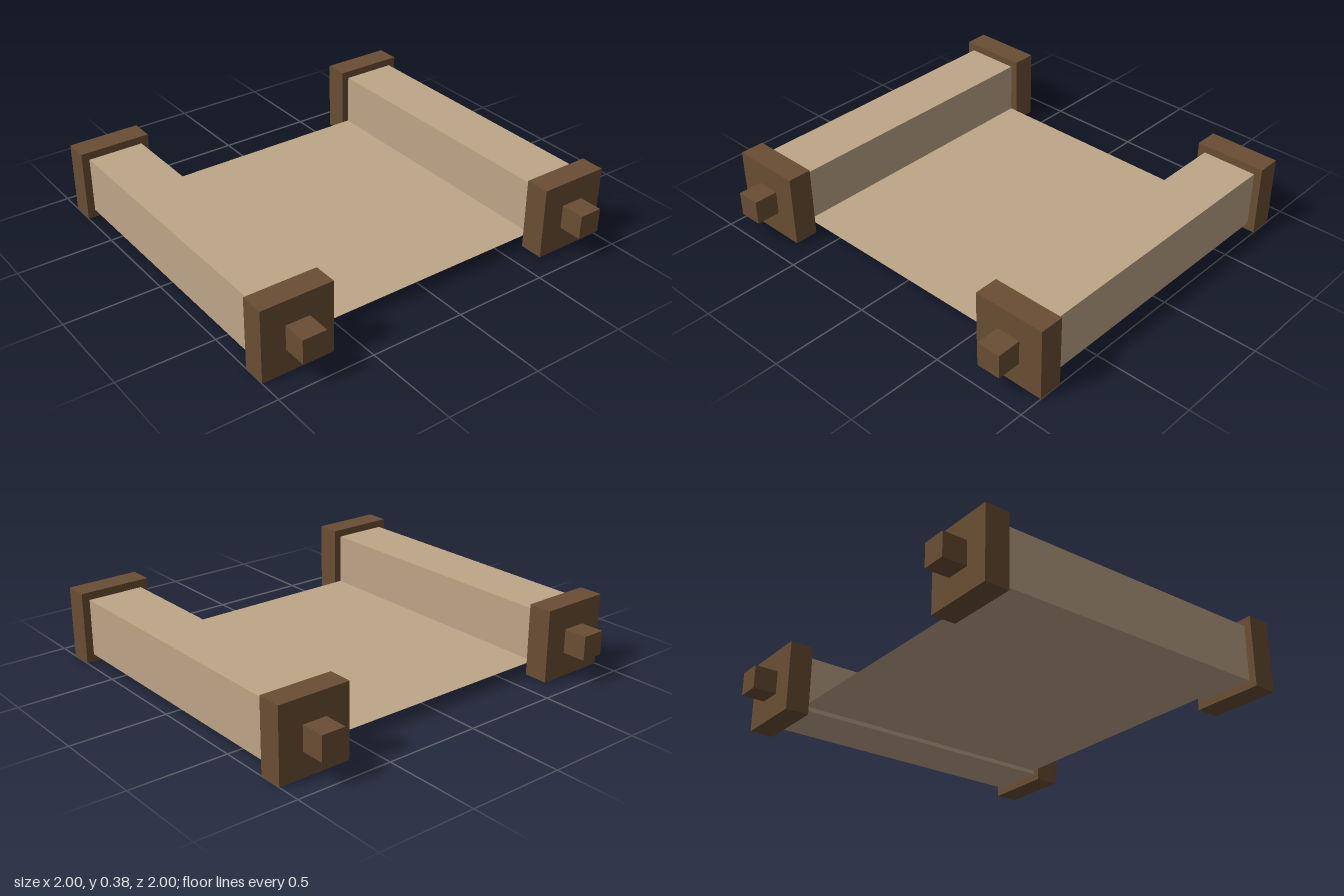
import * as THREE from 'three';

export function createModel() {
  const wood = new THREE.MeshStandardMaterial({ color: 0x6a4e34 });
  wood.name = 'dark wood';
  const paper = new THREE.MeshStandardMaterial({ color: 0xbea688, side: THREE.DoubleSide });
  paper.name = 'parchment';

  const model = new THREE.Group();
  model.name = 'openScroll';

  const addBox = (parent, name, size, position, material) => {
    const mesh = new THREE.Mesh(new THREE.BoxGeometry(...size), material);
    mesh.name = name;
    mesh.position.set(...position);
    parent.add(mesh);
  };

  // Two square rollers, each with an end cap and a peg at both ends
  for (const side of [-1, 1]) {
    const roller = new THREE.Group();
    roller.name = side > 0 ? 'leftRoller' : 'rightRoller';
    roller.position.set(side * 0.8125, 0.1875, 0);
    addBox(roller, 'paperRoll', [0.295, 0.295, 1.5], [0, 0, 0], paper);
    for (const end of [-1, 1]) {
      const place = end > 0 ? 'front' : 'back';
      addBox(roller, place + 'EndCap', [0.375, 0.375, 0.125], [0, 0, end * 0.8125], wood);
      addBox(roller, place + 'Peg', [0.125, 0.125, 0.125], [0, 0, end * 0.9375], wood);
    }
    model.add(roller);
  }

  // Flat sheet stretched between the rollers
  const sheet = new THREE.Mesh(new THREE.PlaneGeometry(1.33, 1.5), paper);
  sheet.name = 'sheet';
  sheet.rotation.x = -Math.PI / 2;
  sheet.position.y = 0.0625;
  model.add(sheet);

  return model;
}
